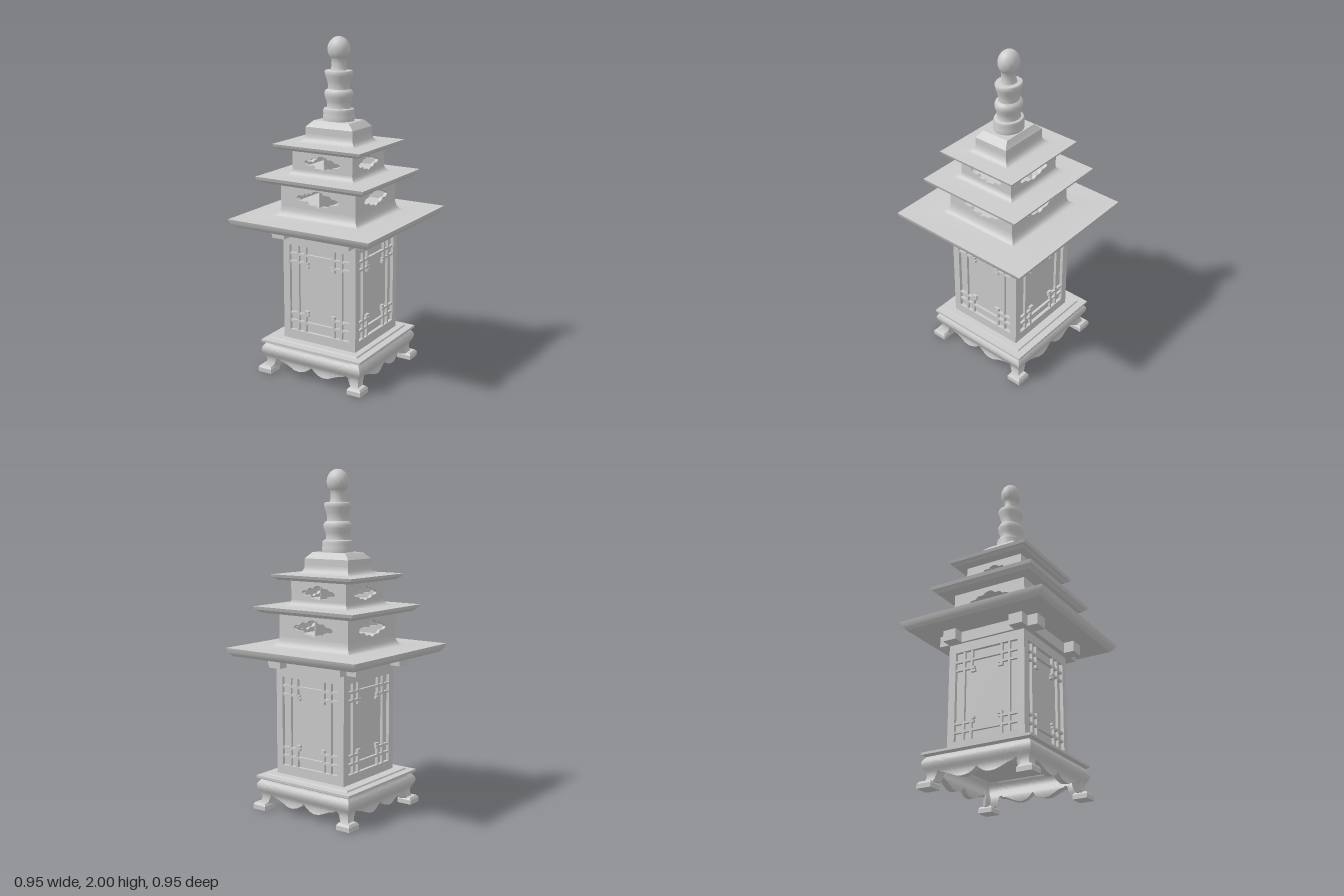
import * as THREE from 'three';
import { toCreasedNormals } from 'three/addons/utils/BufferGeometryUtils.js';

const grey = new THREE.MeshStandardMaterial({ color: 0xcccccc, side: THREE.DoubleSide });

function add(parent, name, geometry, x = 0, y = 0, z = 0) {
  const mesh = new THREE.Mesh(geometry, grey);
  mesh.name = name;
  mesh.position.set(x, y, z);
  parent.add(mesh);
  return mesh;
}

// Joins a grid of points rows[i][j] into a creased surface.
function skin(rows, crease = 0.6) {
  const pos = [];
  for (let i = 0; i < rows.length - 1; i++) {
    for (let j = 0; j < rows[i].length - 1; j++) {
      const a = rows[i][j], b = rows[i][j + 1], c = rows[i + 1][j + 1], d = rows[i + 1][j];
      pos.push(...a, ...b, ...c, ...a, ...c, ...d);
    }
  }
  const g = new THREE.BufferGeometry();
  g.setAttribute('position', new THREE.Float32BufferAttribute(pos, 3));
  return toCreasedNormals(g, crease);
}

// Rectangular turning: profile entries are [half width, half depth, height].
function rectLoft(profile) {
  const corners = [[1, 1], [1, -1], [-1, -1], [-1, 1], [1, 1]];
  return skin(profile.map(([hx, hz, y]) => corners.map(([sx, sz]) => [sx * hx, y, sz * hz])));
}

const lerpTable = (table, v) => {
  let i = 0;
  while (i < table.length - 2 && v > table[i + 1][0]) i++;
  const [a, b] = [table[i], table[i + 1]];
  return THREE.MathUtils.lerp(a[1], b[1], THREE.MathUtils.clamp((v - a[0]) / (b[0] - a[0]), 0, 1));
};

// Calls build(group, side) on four groups turned to face each side.
function fourSides(parent, name, build) {
  for (let k = 0; k < 4; k++) {
    const g = new THREE.Group();
    g.name = name;
    g.rotation.y = k * Math.PI / 2;
    parent.add(g);
    build(g, k);
  }
}

// One apron side with legs: a hollow moulded section swept across, cut by a scalloped edge.
function apronSide() {
  const bulge = [[0.03, 0.328], [0.06, 0.318], [0.085, 0.318], [0.105, 0.328], [0.12, 0.337],
    [0.14, 0.342], [0.155, 0.339], [0.168, 0.33], [0.178, 0.322], [0.19, 0.322]];
  const edge = [[0, 0.085], [0.06, 0.068], [0.14, 0.052], [0.25, 0.043], [0.36, 0.046], [0.48, 0.06],
    [0.6, 0.076], [0.7, 0.083], [0.74, 0.093], [0.79, 0.086], [0.81, 0.07], [0.83, 0.035], [1, 0.035]];
  const span = [];
  for (let i = 0; i <= 100; i++) span.push(-1 + i / 50);
  const top = 0.19, n = 14;
  return skin(span.map((s) => {
    const low = lerpTable(edge, Math.abs(s)), loop = [];
    for (let k = 0; k <= 2 * n + 1; k++) {
      const inner = k > n, t = inner ? (2 * n + 1 - k) / n : k / n;
      const y = top + (low - top) * t;
      const out = lerpTable(bulge, y) - (inner ? 0.035 : 0);
      loop.push([s * out, y, out]);
    }
    loop.push(loop[0]);
    return loop;
  }));
}

// Cloud-shaped opening.
function cloud(w, h, cy) {
  const half = [[0, 1], [0.2, 0.85], [0.3, 0.62], [0.55, 0.6], [0.68, 0.3], [0.88, 0.25],
    [1, -0.08], [0.85, -0.38], [0.6, -0.4], [0.45, -0.72], [0.2, -0.75], [0, -1]];
  const all = [...half, ...half.slice(1, -1).reverse().map(([x, y]) => [-x, y])];
  const curve = new THREE.SplineCurve([...all, all[0]].map(([x, y]) => new THREE.Vector2(x * w, cy + y * h)));
  return new THREE.Path(curve.getPoints(88).slice(0, -1));
}

function rectShape(w, y0, y1, Type = THREE.Shape) {
  return new Type([[-w, y0], [w, y0], [w, y1], [-w, y1]].map(([x, y]) => new THREE.Vector2(x, y)));
}

function panel(shape, hole, depth) {
  shape.holes.push(hole);
  return new THREE.ExtrudeGeometry(shape, { depth, bevelEnabled: false });
}

// Flat roof slab with an undercut rim and a concave rise to the storey above.
function roof(parent, name, hx, hz, y0, y1, nx, nz, rise) {
  const rim = [[0, 0, y0], [hx - 0.03, hz - 0.03, y0], [hx - 0.018, hz - 0.018, y0 + 0.012],
    [hx - 0.007, hz - 0.007, (y0 + y1) / 2], [hx, hz, y1], [nx + 0.04, nz + 0.04, y1]];
  for (let i = 1; i <= 6; i++) {
    const a = i / 6 * Math.PI / 2, out = 0.04 * (1 - Math.sin(a));
    rim.push([nx + out, nz + out, y1 + rise * (1 - Math.cos(a))]);
  }
  rim.push([0, 0, y1 + rise]);
  add(parent, name, rectLoft(rim));
}

// Hollow storey with a cloud window in each wall.
function storey(parent, name, hx, hz, y0, y1, winW, winH, winY) {
  const t = 0.02;
  fourSides(parent, name, (g, k) => {
    const [w, d] = k % 2 ? [hz, hx] : [hx, hz];
    const inset = k % 2 ? t : 0;
    add(g, 'windowWall', panel(rectShape(w - inset, y0, y1), cloud(winW * w / hx, winH, winY), t), 0, 0, d - t);
  });
  add(parent, 'innerPartition', new THREE.BoxGeometry(0.006, y1 - y0, 2 * (hz - t)), 0, (y0 + y1) / 2, 0);
}

export function createModel() {
  const root = new THREE.Group();
  root.name = 'pagodaLantern';
  const model = new THREE.Group();
  model.name = 'lantern';
  model.rotation.y = 0.0215;
  root.add(model);

  // Footed base
  const base = new THREE.Group();
  base.name = 'base';
  base.position.set(-0.008, 0, -0.018);
  model.add(base);
  const apron = apronSide();
  fourSides(base, 'apron', (g) => {
    add(g, 'apronAndLegs', apron);
    add(g, 'foot', rectLoft([[0, 0, 0], [0.046, 0.046, 0], [0.046, 0.046, 0.026],
      [0.036, 0.036, 0.04], [0, 0, 0.04]]), 0.31, 0, 0.31);
  });
  add(base, 'baseTop', rectLoft([[0, 0, 0.18], [0.322, 0.322, 0.18], [0.328, 0.328, 0.186], [0.342, 0.342, 0.19],
    [0.342, 0.342, 0.204], [0.3, 0.3, 0.206], [0.295, 0.295, 0.214], [0, 0, 0.214]]));

  // Lamp body with recessed lattice panels
  const body = new THREE.Group();
  body.name = 'body';
  body.position.set(0.003, 0, -0.018);
  model.add(body);
  const H = 0.247, mid = 0.535, pw = 0.203, ph = 0.265, bar = 0.014;
  add(body, 'core', new THREE.BoxGeometry(0.454, 0.69, 0.454), 0, 0.555, 0);
  fourSides(body, 'latticePanel', (g) => {
    add(g, 'frame', panel(rectShape(H, 0.212, 0.9), rectShape(pw, mid - ph, mid + ph, THREE.Path), 0.02), 0, 0, H - 0.02);
    const strip = (name, w, h, x, y) => add(g, name, new THREE.BoxGeometry(w, h, 0.018), x, y, H - 0.013);
    for (const s of [-1, 1]) {
      strip('longUpright', bar, 2 * ph, s * (pw - 0.055), mid);
      strip('longRail', 2 * pw, bar, 0, mid + s * (ph - 0.055));
      for (const v of [-1, 1]) {
        strip('shortUpright', bar, 0.125, s * (pw - 0.105), mid + v * (ph - 0.0625));
        strip('shortRail', 0.125, bar, s * (pw - 0.0625), mid + v * (ph - 0.105));
        strip('hook', 0.03, bar, s * (pw - 0.113), mid + v * (ph - 0.125));
      }
    }
  });

  // Crossing beams under the eaves
  fourSides(model, 'eavesBeam', (g, k) => {
    add(g, 'beam', new THREE.BoxGeometry(0.645, 0.069 - (k % 2) * 0.001, 0.085), 0, 0.8895, 0.217);
  });

  // Roofs and open storeys
  roof(model, 'lowerRoof', 0.465, 0.465, 0.92, 0.97, 0.25, 0.235, 0.06);
  storey(model, 'lowerStorey', 0.25, 0.235, 1.02, 1.18, 0.142, 0.05, 1.095);
  roof(model, 'middleRoof', 0.358, 0.34, 1.172, 1.21, 0.2, 0.185, 0.035);
  storey(model, 'upperStorey', 0.2, 0.185, 1.235, 1.37, 0.12, 0.043, 1.295);
  roof(model, 'upperRoof', 0.29, 0.263, 1.362, 1.395, 0.157, 0.112, 0.05);
  add(model, 'cap', rectLoft([[0.157, 0.112, 1.44], [0.157, 0.112, 1.485], [0.148, 0.104, 1.495],
    [0.118, 0.087, 1.522], [0, 0, 1.522]]));

  // Turned finial, slightly oval
  const profile = [[0, 1.52], [0.094, 1.52], [0.096, 1.55], [0.092, 1.56], [0.095, 1.575], [0.09, 1.59], [0.074, 1.594],
    [0.07, 1.61], [0.075, 1.635], [0.085, 1.66], [0.087, 1.68], [0.08, 1.695], [0.066, 1.703], [0.064, 1.72],
    [0.07, 1.75], [0.081, 1.78], [0.085, 1.8], [0.08, 1.808], [0.05, 1.811], [0.044, 1.83], [0.045, 1.85]];
  for (let i = 0; i <= 16; i++) {
    const a = -0.85 + i / 16 * (0.85 + Math.PI / 2);
    profile.push([0.067 * Math.cos(a), 1.928 + 0.072 * Math.sin(a)]);
  }
  const turned = new THREE.LatheGeometry(profile.map(([r, y]) => new THREE.Vector2(Math.max(r, 0), y)), 40);
  add(model, 'finial', toCreasedNormals(turned, 0.9)).scale.z = 0.87;
  return root;
}
